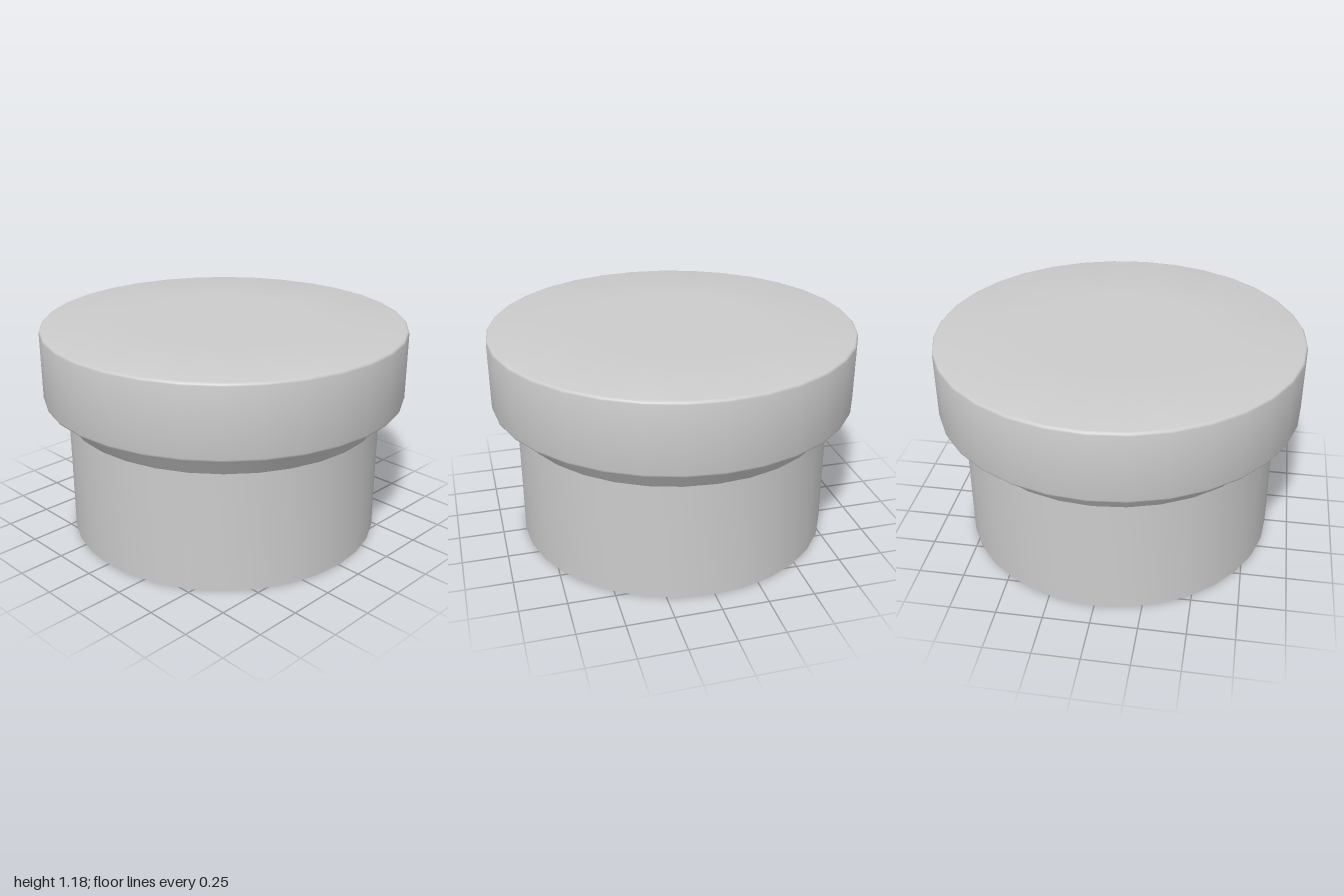
import * as THREE from 'three';
import { toCreasedNormals } from 'three/addons/utils/BufferGeometryUtils.js';

const SIDES = 32;
const material = new THREE.MeshStandardMaterial({ color: 0xcccccc, side: THREE.DoubleSide });

// Thin shell turned around the y axis from [radius, height] points, bottom to top
function turned(name, points) {
  const profile = points.map(([r, y]) => new THREE.Vector2(r, y));
  const geometry = toCreasedNormals(new THREE.LatheGeometry(profile, SIDES), 0.58);
  const mesh = new THREE.Mesh(geometry, material);
  mesh.name = name;
  return mesh;
}

// Points of a rounded corner, from one angle to another
function corner(r, y, radius, from, to, steps = 3) {
  return Array.from({ length: steps + 1 }, (_, i) => {
    const a = THREE.MathUtils.degToRad(from + ((to - from) * i) / steps);
    return [r + Math.cos(a) * radius, y + Math.sin(a) * radius];
  });
}

export function createModel() {
  const group = new THREE.Group();
  group.name = 'cappedTube';

  // Open tube at the bottom
  group.add(turned('tube', [[0.87, 0], [0.87, 0.66]]));

  // Flare widening up to the cap
  group.add(turned('flare', [[0.87, 0.66], [0.95, 0.775]]));

  // Hollow cap with rounded rims and a barely domed top
  group.add(turned('cap', [
    [0.95, 0.775],
    ...corner(0.98, 0.795, 0.02, -90, 0),
    ...corner(0.985, 1.158, 0.015, 0, 90),
    [0.5, 1.178],
    [0, 1.18],
  ]));

  return group;
}
